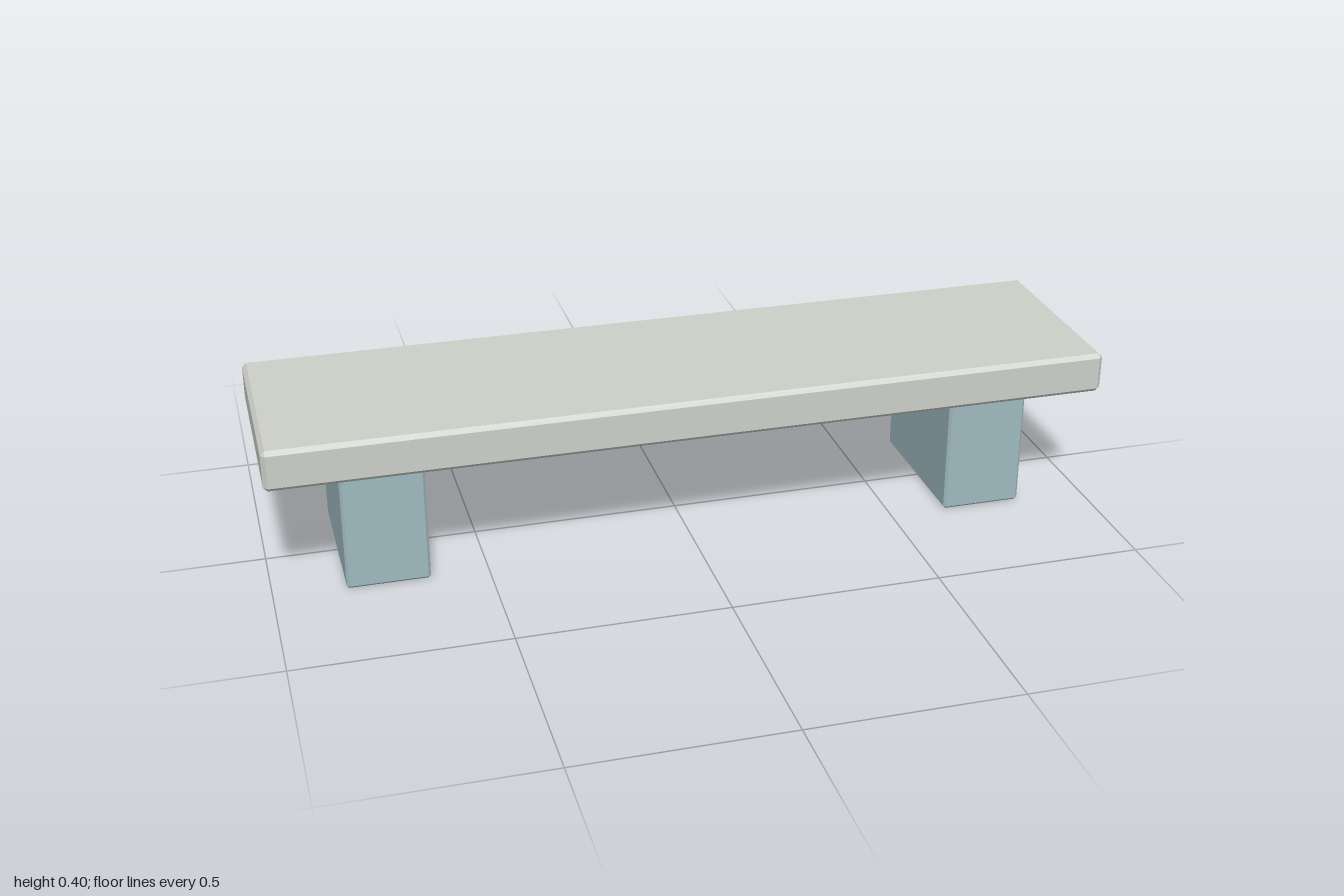
import * as THREE from 'three';
import { ConvexGeometry } from 'three/addons/geometries/ConvexGeometry.js';

// Box with every edge chamfered by c: each corner becomes three points
function chamferedBox(w, h, d, c) {
  const points = [];
  for (const sx of [-1, 1]) for (const sy of [-1, 1]) for (const sz of [-1, 1]) {
    const x = w / 2, y = h / 2, z = d / 2;
    points.push(
      new THREE.Vector3(sx * x, sy * (y - c), sz * (z - c)),
      new THREE.Vector3(sx * (x - c), sy * y, sz * (z - c)),
      new THREE.Vector3(sx * (x - c), sy * (y - c), sz * z),
    );
  }
  return new ConvexGeometry(points);
}

export function createModel() {
  const group = new THREE.Group();
  group.name = 'bench';
  const slabMaterial = new THREE.MeshStandardMaterial({ color: 0xcccec8, flatShading: true });
  const legMaterial = new THREE.MeshStandardMaterial({ color: 0x9ebabf, flatShading: true });

  // Seat slab
  const seat = new THREE.Mesh(chamferedBox(2, 0.099, 0.5, 0.01), slabMaterial);
  seat.name = 'seat';
  seat.position.y = 0.3515;
  group.add(seat);

  // Block legs, mirrored left and right
  const legGeometry = chamferedBox(0.195, 0.302, 0.384, 0.006);
  for (const side of [-1, 1]) {
    const leg = new THREE.Mesh(legGeometry, legMaterial);
    leg.name = side > 0 ? 'leftLeg' : 'rightLeg';
    leg.position.set(side * 0.734, 0.151, 0);
    group.add(leg);
  }
  return group;
}
